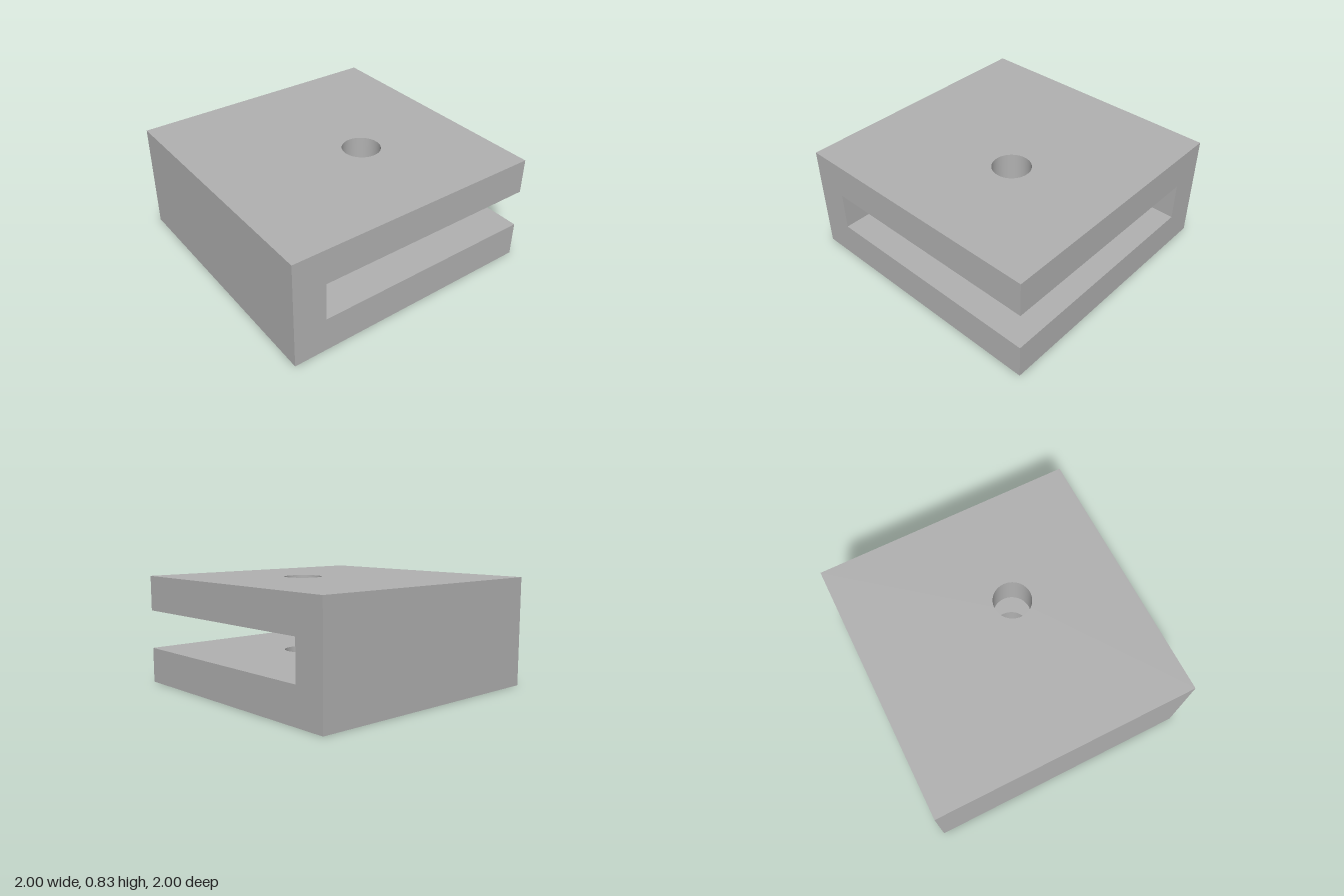
import * as THREE from 'three';

const H = 0.833;                       // block height
const SLOT = { low: 0.27, high: 0.565, wall: 0.75 };
const HOLE = { x: 0.165, z: -0.168, r: 0.144 };
const Q = Math.PI / 2;

// Closed outline from corner points
const outline = (...pts) => new THREE.Shape(pts.map(([x, y]) => new THREE.Vector2(x, y)));
const rect = (x0, y0, x1, y1) => outline([x0, y0], [x1, y0], [x1, y1], [x0, y1]);

export function createModel() {
  const group = new THREE.Group();
  const grey = new THREE.MeshStandardMaterial({ color: 0xb2b2b2 });
  grey.name = 'grey';

  function add(name, geometry, x = 0, y = 0, z = 0) {
    const mesh = new THREE.Mesh(geometry.translate(x, y, z), grey);
    mesh.name = name;
    group.add(mesh);
  }

  // Horizontal face with the bore cut out, looking up (dir 1) or down (dir -1)
  function level(name, y, x0, z0, x1, z1, dir) {
    const shape = dir > 0 ? rect(x0, -z1, x1, -z0) : rect(x0, z0, x1, z1);
    const hole = new THREE.Path();
    hole.absarc(HOLE.x, -dir * HOLE.z, HOLE.r, 0, Math.PI * 2, true);
    shape.holes.push(hole);
    add(name, new THREE.ShapeGeometry(shape, 32).rotateX(-dir * Q), 0, y, 0);
  }

  // Upright face turned about y
  const upright = (name, shape, turn, x, z) =>
    add(name, new THREE.ShapeGeometry(shape).rotateY(turn), x, 0, z);

  // Side outline with the slot open towards the shared corner (s = 1 or -1)
  const slotted = (s) => outline(
    [-s, 0], [s, 0], [s, SLOT.low], [-s * SLOT.wall, SLOT.low],
    [-s * SLOT.wall, SLOT.high], [s, SLOT.high], [s, H], [-s, H]);

  // Upper and lower plates
  level('topFace', H, -1, -1, 1, 1, 1);
  level('bottomFace', 0, -1, -1, 1, 1, -1);
  level('slotFloor', SLOT.low, -SLOT.wall, -1, 1, SLOT.wall, 1);
  level('slotCeiling', SLOT.high, -SLOT.wall, -1, 1, SLOT.wall, -1);

  // Outer sides: two plain, two opened by the slot
  upright('frontFace', rect(-1, 0, 1, H), 0, 0, 1);
  upright('plainSideFace', rect(-1, 0, 1, H), -Q, -1, 0);
  upright('slottedSideFace', slotted(1), Q, 1, 0);
  upright('slottedBackFace', slotted(-1), Math.PI, 0, -1);

  // Inner walls at the two closed ends of the slot
  upright('slotSideWall', rect(-SLOT.wall, SLOT.low, 1, SLOT.high), Q, -SLOT.wall, 0);
  upright('slotFrontWall', rect(-1, SLOT.low, SLOT.wall, SLOT.high), Math.PI, 0, SLOT.wall);

  // Bore through each plate; profiles run downwards so the faces look inwards
  for (const [name, top, bottom] of [['upperBore', H, SLOT.high], ['lowerBore', SLOT.low, 0]]) {
    const profile = [new THREE.Vector2(HOLE.r, top), new THREE.Vector2(HOLE.r, bottom)];
    add(name, new THREE.LatheGeometry(profile, 64), HOLE.x, 0, HOLE.z);
  }
  return group;
}
